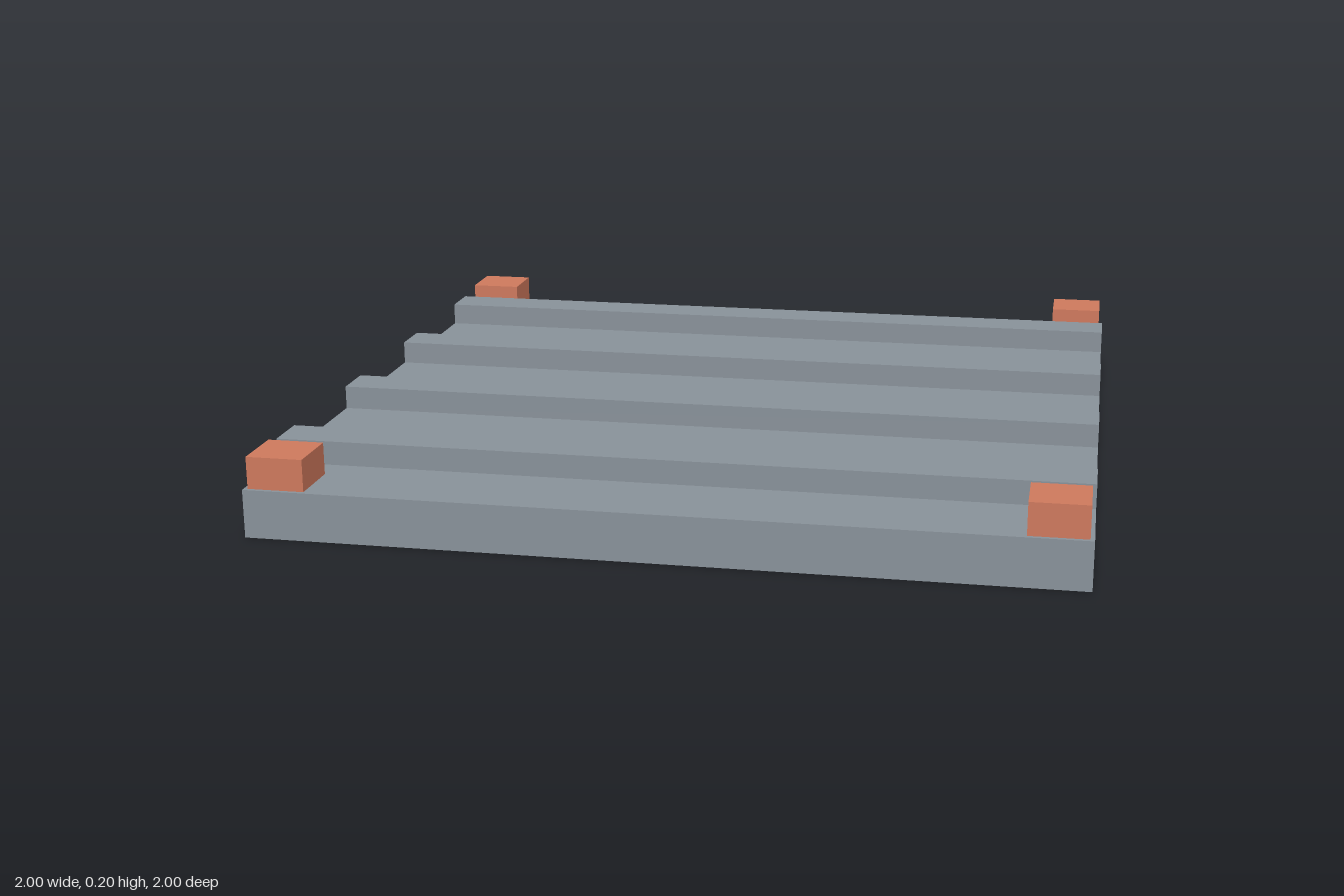
import * as THREE from 'three';

export function createModel() {
  const group = new THREE.Group();
  const steel = new THREE.MeshStandardMaterial({ color: 0x8a939b });
  const copper = new THREE.MeshStandardMaterial({ color: 0xd07a5e });

  // Box whose underside rests at height y
  function addBox(name, material, [w, h, d], [x, y, z]) {
    const mesh = new THREE.Mesh(new THREE.BoxGeometry(w, h, d), material);
    mesh.name = name;
    mesh.position.set(x, y + h / 2, z);
    group.add(mesh);
  }

  // Square floor slab
  const slabHeight = 0.12;
  addBox('slab', steel, [2, slabHeight, 2], [0, 0, 0]);

  // Four evenly spaced ribs across the full width
  for (let i = 0; i < 4; i++) {
    addBox('rib', steel, [2, 0.06, 0.116], [0, slabHeight, -0.72 + i * 0.48]);
  }

  // Coloured block on each corner
  for (const sx of [-1, 1]) {
    for (const sz of [-1, 1]) {
      addBox('cornerBlock', copper, [0.14, 0.08, 0.14], [sx * 0.92, slabHeight, sz * 0.92]);
    }
  }

  return group;
}
